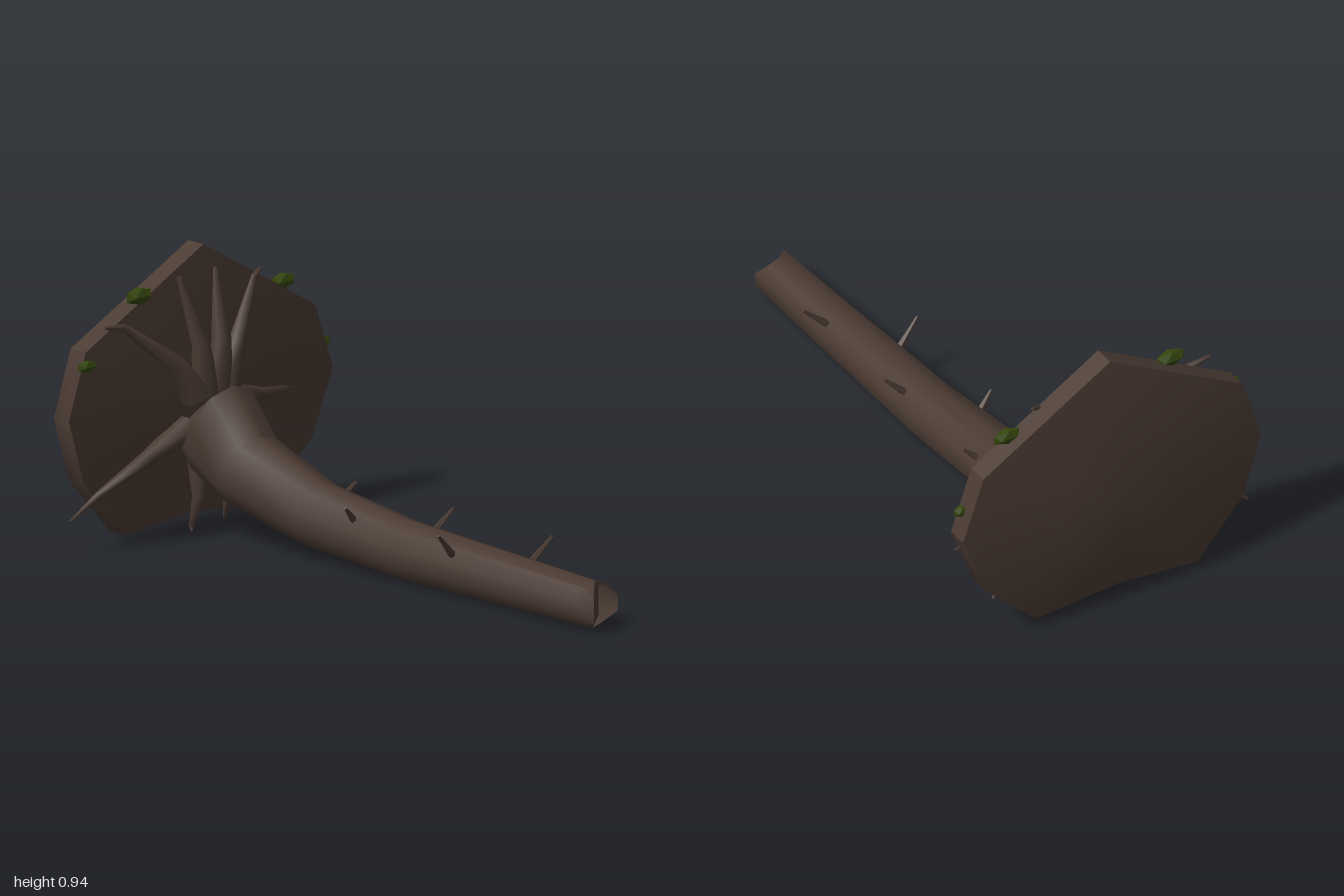
import * as THREE from 'three';
import { toCreasedNormals } from 'three/addons/utils/BufferGeometryUtils.js';

const V = (x, y, z) => new THREE.Vector3(x, y, z);

// Skin over closed rings (each counter-clockwise about the direction of travel), capped at both ends
function loft(rings, crease = 0.9) {
  const n = rings[0].length;
  const pos = [], idx = [];
  rings.forEach(r => r.forEach(p => pos.push(p.x, p.y, p.z)));
  for (let i = 0; i < rings.length - 1; i++) {
    for (let j = 0; j < n; j++) {
      const k = (j + 1) % n, a = i * n, b = a + n;
      idx.push(a + j, a + k, b + k, a + j, b + k, b + j);
    }
  }
  const cap = (ring, start, flip) => {
    const c = ring.reduce((s, p) => s.add(p), V(0, 0, 0)).divideScalar(n);
    const ci = pos.length / 3;
    pos.push(c.x, c.y, c.z);
    for (let j = 0; j < n; j++) {
      const k = (j + 1) % n;
      idx.push(ci, start + (flip ? k : j), start + (flip ? j : k));
    }
  };
  cap(rings[0], 0, true);
  cap(rings[rings.length - 1], (rings.length - 1) * n, false);
  const g = new THREE.BufferGeometry();
  g.setAttribute('position', new THREE.Float32BufferAttribute(pos, 3));
  g.setIndex(idx);
  return toCreasedNormals(g, crease);
}

// Tapered limb through points [x, y, z, radius]
function limb(path, sides = 6) {
  const pts = path.map(p => V(p[0], p[1], p[2]));
  const rings = pts.map((p, i) => {
    const d = pts[Math.min(i + 1, pts.length - 1)].clone().sub(pts[Math.max(i - 1, 0)]).normalize();
    const u = V(1, 0, 0).addScaledVector(d, -d.x).normalize();
    const v = d.clone().cross(u);
    return Array.from({ length: sides }, (_, j) => {
      const t = j / sides * Math.PI * 2, r = path[i][3];
      return p.clone().addScaledVector(u, Math.cos(t) * r).addScaledVector(v, Math.sin(t) * r);
    });
  });
  return loft(rings, 1.2);
}

export function createModel() {
  const model = new THREE.Group();
  const bark = new THREE.MeshStandardMaterial({ name: 'bark', color: 0x4a3a32 });
  const moss = new THREE.MeshStandardMaterial({ name: 'moss', color: 0x35470c });
  const add = (name, geo, mat = bark) => {
    const m = new THREE.Mesh(geo, mat);
    m.name = name;
    model.add(m);
    return m;
  };

  // Upturned root plate: a slightly leaning, lens-shaped slab; outline as [z, y]
  const outline = [[0, 0.94], [0.49, 0.66], [0.555, 0.44], [0.485, 0.22], [0.31, 0.025],
    [0.02, 0.055], [-0.295, 0.035], [-0.48, 0.22], [-0.56, 0.44], [-0.48, 0.66]];
  const plateRing = (x, s) => outline.map(([z, y]) =>
    V(x + s * (0.03 * (y - 0.44) - 0.03 * z), 0.44 + (y - 0.44) * s, z * s));
  add('rootPlate', loft([plateRing(-0.998, 0.4), plateRing(-0.95, 1), plateRing(-0.878, 1), plateRing(-0.835, 0.4)], 0.6));

  // Trunk rings: top x, y; bottom x, y; centre z; half width
  const sides = 10;
  const trunk = [
    [-0.82, 0.42, -0.88, 0.25, 0, 0.12],
    [-0.72, 0.50, -0.84, 0.195, 0, 0.15],
    [-0.60, 0.35, -0.72, 0.12, -0.01, 0.135],
    [-0.32, 0.25, -0.36, 0.035, -0.02, 0.112],
    [0.06, 0.20, 0.07, 0.002, -0.027, 0.1],
    [0.95, 0.157, 0.94, 0, -0.042, 0.078],
  ].map(([tx, ty, bx, by, z, w]) => Array.from({ length: sides }, (_, j) => {
    const t = j / sides * Math.PI * 2, c = Math.cos(t);
    return V((tx + bx) / 2 + c * (tx - bx) / 2, (ty + by) / 2 + c * (ty - by) / 2, z + Math.sin(t) * w);
  }));
  // Splintered end: one lip juts out and the broken face slants
  const rim = trunk[trunk.length - 1];
  rim.forEach(p => { if (p.z < -0.1) p.x = 0.98; else if (p.z > 0.02) p.x = 0.93; });
  trunk.push(rim.map(p => {
    const z = THREE.MathUtils.clamp(p.z, -0.09, 0.008);
    return V(0.915 + (z + 0.09) * 0.867, THREE.MathUtils.clamp(p.y, 0.03, 0.14), z);
  }));
  add('trunk', loft(trunk, 0.75));

  // Roots fanning over the plate: [x, y, z, radius] per point
  const roots = [
    [[-0.82, 0.46, 0.03, 0.05], [-0.815, 0.63, 0.055, 0.03], [-0.86, 0.85, 0.11, 0.009]],
    [[-0.82, 0.46, -0.02, 0.05], [-0.81, 0.63, -0.03, 0.033], [-0.86, 0.86, -0.045, 0.01]],
    [[-0.82, 0.46, -0.06, 0.05], [-0.82, 0.6, -0.1, 0.032], [-0.86, 0.8, -0.215, 0.013], [-0.87, 0.815, -0.255, 0.006]],
    [[-0.81, 0.46, 0.08, 0.05], [-0.82, 0.58, 0.16, 0.032], [-0.86, 0.725, 0.35, 0.013], [-0.86, 0.735, 0.43, 0.006]],
    [[-0.83, 0.36, 0.1, 0.045], [-0.83, 0.285, 0.27, 0.027], [-0.85, 0.19, 0.47, 0.013], [-0.88, 0.115, 0.56, 0.005]],
    [[-0.83, 0.43, -0.1, 0.045], [-0.83, 0.415, -0.23, 0.022], [-0.86, 0.405, -0.4, 0.009]],
    [[-0.83, 0.34, -0.1, 0.045], [-0.83, 0.25, -0.22, 0.025], [-0.86, 0.1, -0.4, 0.006]],
    [[-0.83, 0.28, 0.05, 0.045], [-0.81, 0.13, 0.065, 0.025], [-0.85, 0.02, 0.065, 0.008], [-0.82, 0.016, 0.09, 0.004]],
    [[-0.83, 0.28, -0.06, 0.045], [-0.83, 0.13, -0.085, 0.022], [-0.87, 0.016, -0.098, 0.006]],
    [[-0.88, 0.4, -0.45, 0.012], [-0.88, 0.375, -0.56, 0.004]],
  ];
  roots.forEach((path, i) => add('root' + (i + 1), limb(path)));

  // Broken twig stubs along the trunk: x, tip y, tip z, base y, base z
  [[-0.31, 0.235, -0.15, 0.18, -0.09], [-0.09, 0.23, 0.1, 0.17, 0.04], [0.14, 0.23, -0.16, 0.15, -0.08],
    [0.365, 0.225, 0.112, 0.14, 0.03], [0.595, 0.22, -0.175, 0.13, -0.08]].forEach(([x, ty, tz, by, bz], i) =>
    add('twigStub' + (i + 1), limb([[x - 0.008, by, bz, 0.014], [x + 0.01, ty, tz, 0.005]], 5)));

  // Faceted moss clumps: y, z, half length, half height
  const clump = new THREE.IcosahedronGeometry(1, 0);
  [[0.81, 0.265, 0.06, 0.03], [0.86, -0.057, 0.028, 0.015], [0.755, -0.36, 0.056, 0.027],
    [0.615, 0.49, 0.042, 0.022], [0.525, -0.533, 0.032, 0.02]].forEach(([y, z, l, h], i) => {
    const m = add('mossClump' + (i + 1), clump, moss);
    m.position.set(-0.88, y, z);
    m.scale.set(h * 0.9, h, l);
  });
  return model;
}
